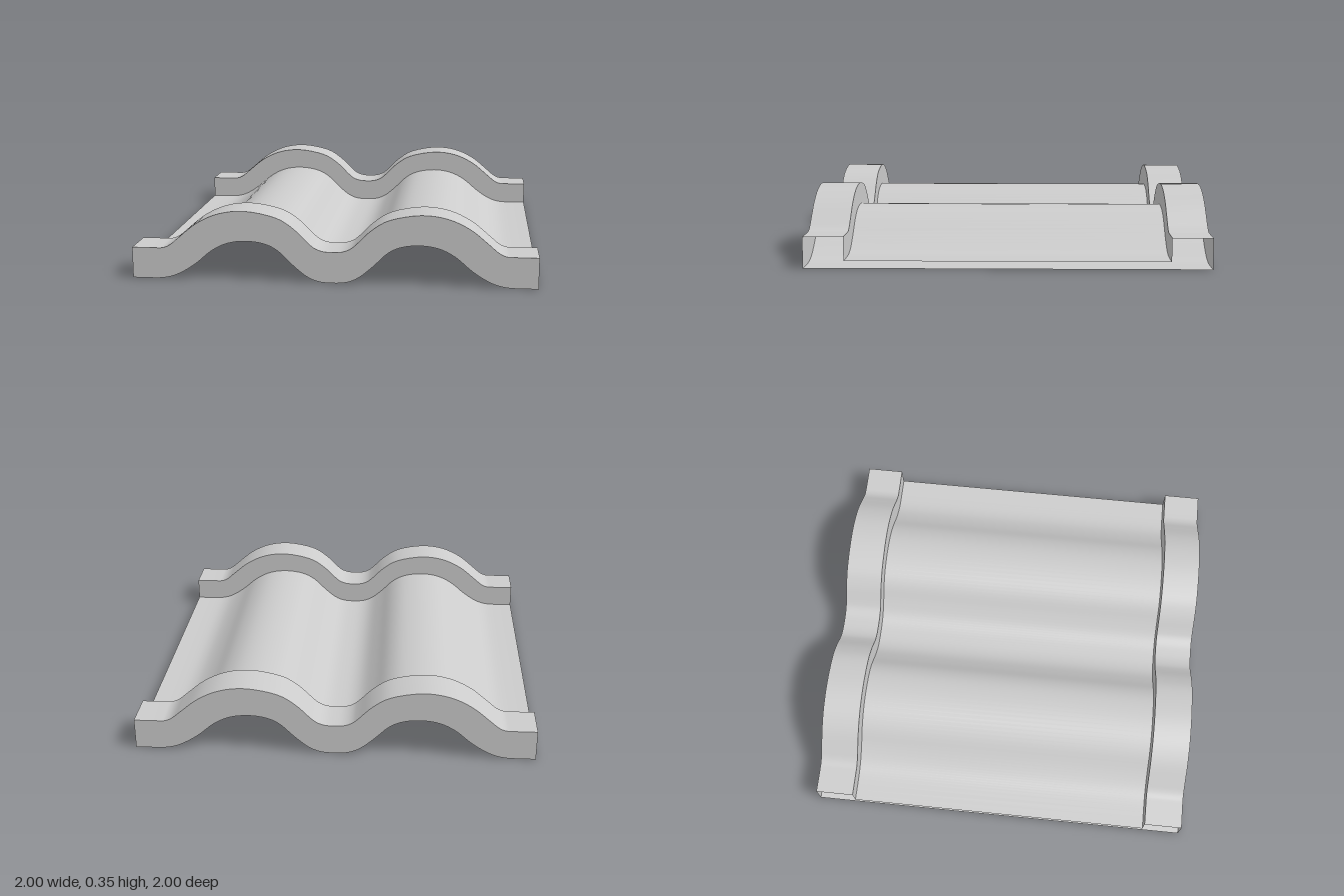
import * as THREE from 'three';

// Half of the wave, from the centre valley to the side edge:
// underside x, y, then the matching point on the thick rim's top x, y
const HALF = [
  [0, 0, 0, 0.155], [0.07, 0.006, 0.045, 0.158], [0.13, 0.032, 0.085, 0.172],
  [0.2, 0.09, 0.12, 0.2], [0.27, 0.157, 0.19, 0.268], [0.34, 0.19, 0.28, 0.322],
  [0.43, 0.2, 0.43, 0.35], [0.52, 0.187, 0.56, 0.335], [0.6, 0.147, 0.67, 0.285],
  [0.68, 0.08, 0.76, 0.213], [0.75, 0.035, 0.805, 0.175], [0.81, 0.01, 0.84, 0.158],
  [0.88, 0, 0.88, 0.155], [1, 0, 1, 0.155],
];
const PROFILE = [
  ...HALF.slice(1).reverse().map(([a, b, c, d]) => [-a, b, -c, d]),
  ...HALF,
];
const STEPS = 104;

// Smooth wave line; t = 0 is the underside, t = 1 the rim's top
function wave(t) {
  const points = PROFILE.map(([xb, yb, xt, yt]) =>
    new THREE.Vector2(xb + (xt - xb) * t, yb + (yt - yb) * t));
  return new THREE.SplineCurve(points).getPoints(STEPS);
}

// Surface spanned between two wave lines, each at its own z
function span(lineA, zA, lineB, zB) {
  const positions = [];
  const indices = [];
  lineA.forEach((a, i) => {
    const b = lineB[i];
    positions.push(a.x, Math.max(0, a.y), zA, b.x, Math.max(0, b.y), zB);
    if (i < STEPS) {
      const k = i * 2;
      indices.push(k, k + 1, k + 3, k, k + 3, k + 2);
    }
  });
  const geometry = new THREE.BufferGeometry();
  geometry.setAttribute('position', new THREE.Float32BufferAttribute(positions, 3));
  geometry.setIndex(indices);
  geometry.computeVertexNormals();
  return geometry;
}

export function createModel() {
  const model = new THREE.Group();
  model.name = 'wavyRoofTile';
  const material = new THREE.MeshStandardMaterial({ color: 0xcccccc, side: THREE.DoubleSide });
  const add = (parent, name, geometry) => {
    const mesh = new THREE.Mesh(geometry, material);
    mesh.name = name;
    parent.add(mesh);
  };

  const under = wave(0);
  const sheet = wave(0.24);
  const rim = wave(1);
  const END = 1;
  const STEP = 0.8;

  // Thin wavy sheet, open along both sides
  add(model, 'underside', span(under, END, under, -END));
  add(model, 'sheetTop', span(sheet, -STEP, sheet, STEP));

  // Raised rim at the front and the back
  const front = new THREE.Group();
  front.name = 'frontRim';
  add(front, 'frontRimTop', span(rim, STEP, rim, END));
  add(front, 'frontRimOuterWall', span(rim, END, under, END));
  add(front, 'frontRimInnerWall', span(sheet, STEP, rim, STEP));

  const back = new THREE.Group();
  back.name = 'backRim';
  add(back, 'backRimTop', span(rim, -END, rim, -STEP));
  add(back, 'backRimOuterWall', span(under, -END, rim, -END));
  add(back, 'backRimInnerWall', span(rim, -STEP, sheet, -STEP));

  model.add(front, back);
  return model;
}
